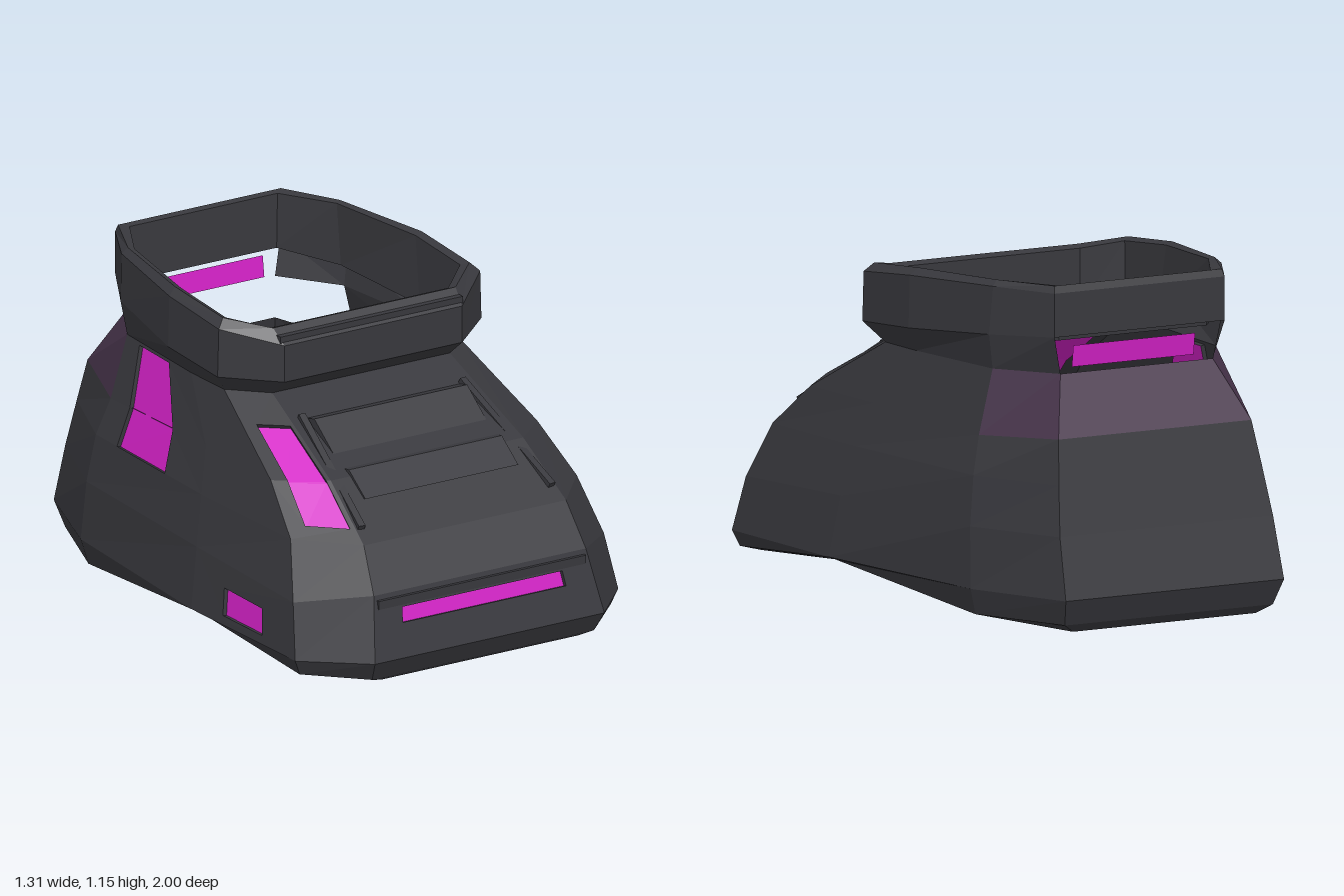
import * as THREE from 'three';

const V = (x, y, z) => new THREE.Vector3(x, y, z);

// Half ring (front corner, front side, mid side, back side, back corner) mirrored to a closed loop
function ring(half) {
  const right = half.map(p => V(...p));
  const left = half.map(p => V(-p[0], p[1], p[2])).reverse();
  return [...right, ...left];
}

// Flat-faced geometry from a list of quads
function quadGeometry(quads) {
  const pos = [];
  for (const [a, b, c, d] of quads)
    for (const p of [a, b, c, a, c, d]) pos.push(p.x, p.y, p.z);
  const g = new THREE.BufferGeometry();
  g.setAttribute('position', new THREE.Float32BufferAttribute(pos, 3));
  g.computeVertexNormals();
  return g;
}

// Quad number i between two rings
function cell(rings, level, i) {
  const a = rings[level], b = rings[level + 1], j = (i + 1) % a.length;
  return [a[i], a[j], b[j], b[i]];
}

const bilinear = ([a, b, c, d], u, v) =>
  a.clone().lerp(b, u).lerp(d.clone().lerp(c, u), v);

// Quad with a recessed rectangular window: frame and reveal quads, plus the pane
function windowCell(q, u0, u1, v0, v1, depth = 0.015) {
  const n = q[2].clone().sub(q[0]).cross(q[3].clone().sub(q[1])).normalize();
  const inner = [[u0, v0], [u1, v0], [u1, v1], [u0, v1]].map(([u, v]) => bilinear(q, u, v));
  const pane = inner.map(p => p.clone().addScaledVector(n, -depth));
  const frame = [];
  for (let i = 0; i < 4; i++) {
    const j = (i + 1) % 4;
    frame.push([q[i], q[j], inner[j], inner[i]]);
    const onSeam = (i === 0 && v0 === 0) || (i === 2 && v1 === 1);
    if (!onSeam) frame.push([inner[i], inner[j], pane[j], pane[i]]);
  }
  return { frame, pane };
}

export function createModel() {
  const group = new THREE.Group();
  const shell = new THREE.MeshStandardMaterial({ color: 0x38383d, side: THREE.DoubleSide, flatShading: true });
  shell.name = 'charcoal shell';
  const glow = new THREE.MeshStandardMaterial({ color: 0xd321c6, side: THREE.DoubleSide });
  glow.name = 'magenta insert';
  const tint = new THREE.MeshStandardMaterial({ color: 0x46334a });
  tint.name = 'dark purple panel';

  const add = (name, geometry, material) => {
    const m = new THREE.Mesh(geometry, material);
    m.name = name;
    group.add(m);
    return m;
  };

  // Sole, upper and collar cross-sections
  const tread = ring([[.40, .045, .94], [.55, .045, .78], [.55, .10, .17], [.47, .01, -.6], [.36, 0, -.93]]);
  const soleEdge = ring([[.45, .06, .96], [.63, .065, .79], [.63, .11, .17], [.55, .03, -.61], [.41, .03, -.96]]);
  const upper = [
    [[.465, .13, 1], [.655, .12, .8], [.655, .12, .17], [.575, .12, -.62], [.43, .12, -1]],
    [[.43, .35, .94], [.63, .31, .75], [.62, .33, .15], [.565, .33, -.6], [.42, .33, -.945]],
    [[.41, .5, .85], [.58, .5, .66], [.58, .5, .12], [.54, .5, -.58], [.40, .5, -.905]],
    [[.39, .66, .62], [.54, .65, .48], [.535, .65, .08], [.50, .63, -.55], [.38, .65, -.87]],
    [[.36, .85, .22], [.475, .85, .1], [.475, .85, -.1], [.44, .85, -.54], [.30, .85, -.75]],
  ].map(ring);
  const collar = [
    [[.36, .91, .295], [.535, .92, .15], [.535, .94, -.15], [.46, .97, -.55], [.335, .98, -.77]],
    [[.36, 1.04, .295], [.53, 1.09, .15], [.53, 1.12, -.15], [.45, 1.135, -.56], [.335, 1.13, -.77]],
    [[.37, 1.09, .24], [.5, 1.12, .13], [.5, 1.145, -.16], [.43, 1.155, -.55], [.33, 1.155, -.76]],
    [[.36, 1.08, .21], [.475, 1.11, .11], [.475, 1.135, -.16], [.41, 1.15, -.54], [.30, 1.15, -.735]],
    [[.36, .88, .21], [.465, .89, .09], [.465, .9, -.12], [.42, .93, -.53], [.29, .96, -.725]],
  ].map(ring);

  // Sole: walls plus a bottom made of strips across the foot
  const sole = [];
  for (let i = 0; i < 10; i++) {
    sole.push(cell([tread, soleEdge], 0, i));
    sole.push(cell([soleEdge, upper[0]], 0, i));
  }
  for (let i = 0; i < 4; i++) sole.push([tread[i], tread[9 - i], tread[8 - i], tread[i + 1]]);
  add('sole', quadGeometry(sole), shell);

  // Windows in the upper: level, cell, u range, v range
  const windows = [
    ['toeSlot', 0, 9, .13, .87, .52, .75],
    ['lowerSideWindow', 0, 7, .3, .68, .15, .6],
    ['instepWindow', 2, 8, .28, .92, .25, 1],
    ['instepWindow', 3, 8, .28, .92, 0, .62],
    ['sideWindow', 2, 6, .2, .65, 0, 1],
    ['sideWindow', 3, 6, .2, .65, 0, .95],
  ];
  const body = [], panels = [];
  for (let level = 0; level < 4; level++) {
    for (let i = 0; i < 10; i++) {
      const q = cell(upper, level, i);
      const w = windows.find(e => e[1] === level && e[2] === i);
      if (w) {
        const { frame, pane } = windowCell(q, ...w.slice(3));
        body.push(...frame);
        add(w[0], quadGeometry([pane]), glow);
      } else if (level === 3 && i >= 3 && i <= 5) {
        panels.push(q);
      } else {
        body.push(q);
      }
    }
  }
  add('upper', quadGeometry(body), shell);
  add('heelPanels', quadGeometry(panels), tint);

  // Neck, open at the back
  const neck = [];
  for (let i = 0; i < 10; i++) if (i !== 4) neck.push(cell([upper[4], collar[0]], 0, i));
  add('neck', quadGeometry(neck), shell);

  // Collar
  const rim = [];
  for (let level = 0; level < 4; level++)
    for (let i = 0; i < 10; i++) rim.push(cell(collar, level, i));
  add('collar', quadGeometry(rim), shell);

  // Glowing strip in the back opening
  add('heelStrip', quadGeometry([[V(.24, .865, -.725), V(-.24, .865, -.725), V(-.24, .94, -.735), V(.24, .94, -.735)]]), glow);

  // Stepped instep plate, profile in (z, y) swept across x
  const profile = [[.25, .81], [.34, .785], [.40, .80], [.56, .675], [.61, .68], [.71, .605], [.60, .56], [.30, .74]];
  const steps = new THREE.ExtrudeGeometry(
    new THREE.Shape(profile.map(([z, y]) => new THREE.Vector2(-z, y))), { depth: .62, bevelEnabled: false });
  steps.translate(0, 0, -.31).rotateY(Math.PI / 2);
  add('instepSteps', steps, shell);

  // Slim cheeks flaring beside the steps
  for (const s of [-1, 1]) {
    const a = V(.325 * s, .79, .34), b = V(.385 * s, .535, .795);
    const cheek = add('instepCheek', new THREE.BoxGeometry(.025, .04, a.distanceTo(b)), shell);
    cheek.position.copy(a).lerp(b, .5);
    cheek.lookAt(b);
  }

  // Ledge over the toe slot and ridge on the front of the collar
  const ledge = add('toeLedge', new THREE.BoxGeometry(.84, .03, .02), shell);
  ledge.position.set(0, .318, .947);
  const ridge = add('collarRidge', new THREE.BoxGeometry(.74, .03, .03), shell);
  ridge.position.set(0, 1.055, .27);

  return group;
}
